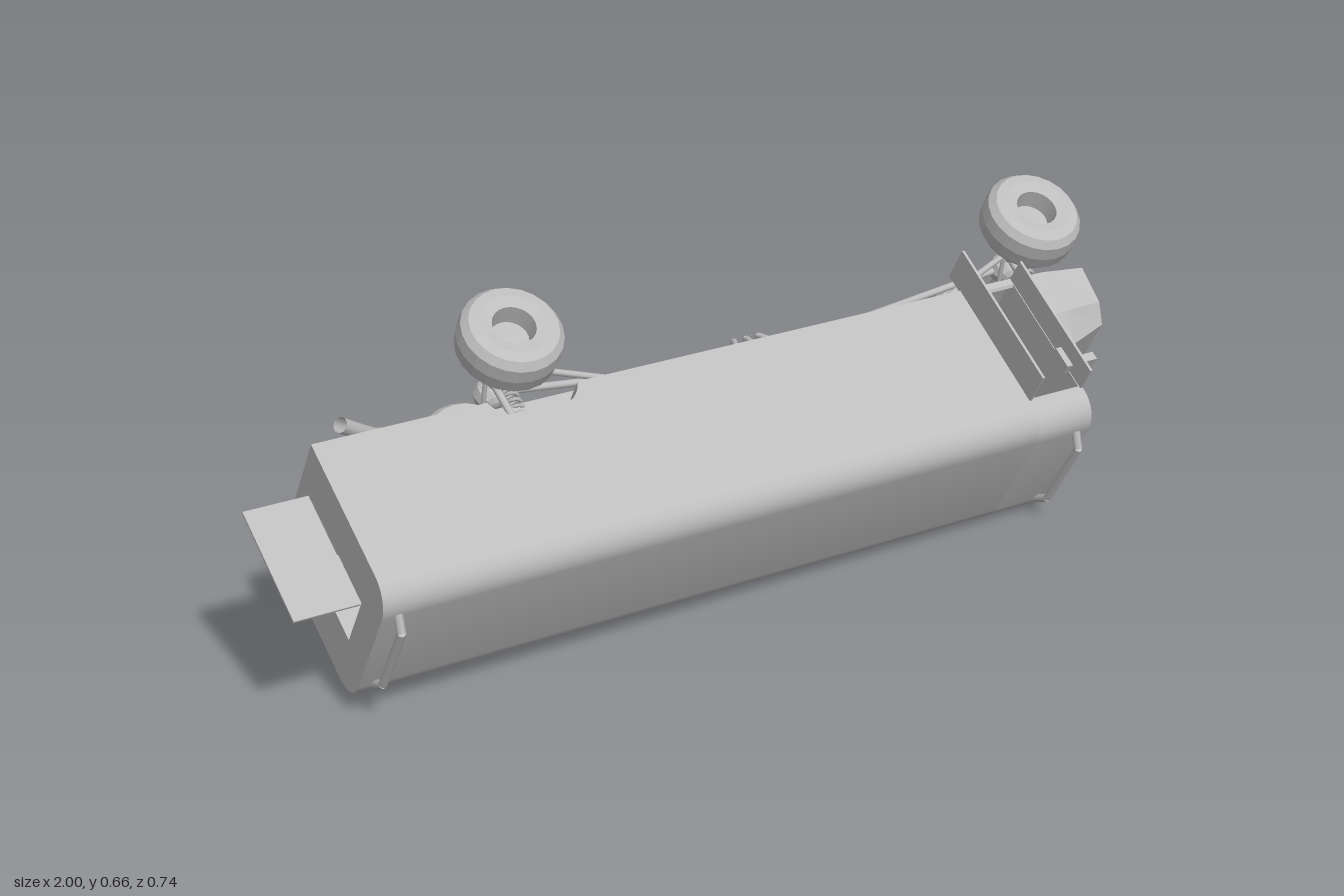
import * as THREE from 'three';
import { toCreasedNormals } from 'three/addons/utils/BufferGeometryUtils.js';

const V = (x, y, z) => new THREE.Vector3(x, y, z);
const HW = 0.179; // half width of the body

export function createModel() {
  const paint = new THREE.MeshStandardMaterial({ color: 0xbdbdbd, side: THREE.DoubleSide });
  paint.name = 'plain grey';
  const flat = new THREE.MeshStandardMaterial({ color: 0xbdbdbd, side: THREE.DoubleSide, flatShading: true });
  flat.name = 'faceted grey';

  const root = new THREE.Group();
  // Vehicle space: +x is its nose, +y its roof; the whole truck lies tipped over
  const truck = new THREE.Group();
  truck.name = 'tippedTruck';
  truck.position.z = -0.273;
  const tip = new THREE.Group();
  tip.rotation.set(2.071, -0.0075, 0.046);
  tip.add(truck);
  root.add(tip);

  const add = (name, geo, mat = paint) => {
    const m = new THREE.Mesh(geo, mat);
    m.name = name;
    truck.add(m);
    return m;
  };
  const box = (name, w, h, d, x, y, z) => {
    const m = add(name, new THREE.BoxGeometry(w, h, d));
    m.position.set(x, y, z);
    return m;
  };
  const rod = (name, a, b, r, sides = 8) => {
    const m = add(name, new THREE.CylinderGeometry(r, r, a.distanceTo(b), sides));
    m.position.copy(a).add(b).multiplyScalar(0.5);
    m.quaternion.setFromUnitVectors(V(0, 1, 0), b.clone().sub(a).normalize());
    return m;
  };
  const alongX = (shape, x0, x1) => {
    const g = new THREE.ExtrudeGeometry(shape, { depth: x1 - x0, bevelEnabled: false });
    return toCreasedNormals(g.rotateY(Math.PI / 2).translate(x0, 0, 0), 0.6);
  };

  // Body outline over the roof: starts on the left wall, ends on the right wall
  const overRoof = (startY, endY) => {
    const pts = [new THREE.Vector2(HW, startY)];
    const r = 0.06, top = 0.158;
    for (const [cx, a0] of [[HW - r, 0], [r - HW, Math.PI / 2]])
      for (let i = 0; i <= 8; i++) {
        const a = a0 + (i / 8) * Math.PI / 2;
        pts.push(new THREE.Vector2(cx + r * Math.cos(a), top - r + r * Math.sin(a)));
      }
    pts.push(new THREE.Vector2(-HW, endY));
    return pts;
  };
  const wall = (pts) => {
    const inner = pts.map((p) => new THREE.Vector2(p.x * 0.97, (p.y + 0.03) * 0.97 - 0.03));
    return new THREE.Shape([...pts, ...inner.reverse()]);
  };
  const rect = (x0, y0, x1, y1) => new THREE.Path([
    new THREE.Vector2(x0, y0), new THREE.Vector2(x1, y0), new THREE.Vector2(x1, y1), new THREE.Vector2(x0, y1)]);

  // Hollow living box, with a doorway notch in the left wall near the cab
  add('bodyShell', alongX(wall(overRoof(-0.165, -0.165)), -0.857, 0.63));
  const front = overRoof(0.085, -0.21);
  front.push(new THREE.Vector2(HW, -0.21), new THREE.Vector2(HW, -0.195));
  add('doorwaySection', alongX(wall(front), 0.63, 0.765));
  add('frontWall', alongX(new THREE.Shape(overRoof(-0.21, -0.21)), 0.757, 0.765));
  const rear = new THREE.Shape(overRoof(-0.21, -0.21));
  rear.holes.push(rect(-0.06, -0.17, 0.07, 0.085));
  add('rearWall', alongX(rear, -0.86, -0.853));
  box('floor', 1.485, 0.01, 0.35, -0.113, -0.17, 0);
  box('doorwayBulkhead', 0.006, 0.3, 0.34, 0.627, -0.05, 0);
  box('doorwaySeat', 0.12, 0.1, 0.2, 0.695, -0.14, 0.04);

  // Lower side skirts with rear wheel arches
  const skirt = new THREE.Shape();
  skirt.moveTo(-0.857, -0.15);
  skirt.lineTo(-0.857, -0.21);
  skirt.lineTo(-0.49, -0.21);
  skirt.quadraticCurveTo(-0.47, -0.156, -0.39, -0.156);
  skirt.quadraticCurveTo(-0.31, -0.156, -0.29, -0.21);
  skirt.lineTo(0.63, -0.21);
  skirt.lineTo(0.63, -0.15);
  const skirtGeo = new THREE.ExtrudeGeometry(skirt, { depth: 0.006, bevelEnabled: false, curveSegments: 8 });
  for (const s of [-1, 1]) {
    add('sideSkirt', skirtGeo).position.z = s * (HW - 0.003) - 0.003;
    const arch = add('wheelArch', new THREE.CylinderGeometry(0.1, 0.1, 0.07, 16, 1, true, -Math.PI / 2, Math.PI));
    arch.rotation.x = -Math.PI / 2;
    arch.scale.z = 0.54;
    arch.position.set(-0.39, -0.21, s * 0.143);
    box('markerLamp', 0.03, 0.05, 0.025, 0.76, 0.02, s * (HW + 0.008));
  }

  // Open doors
  box('doorLeafRear', 0.006, 0.345, 0.082, 0.632, -0.083, -HW - 0.036);
  box('doorLeafFront', 0.006, 0.3, 0.06, 0.762, -0.06, -HW - 0.028);
  box('rearDoor', 0.135, 0.255, 0.005, -0.928, -0.043, -0.063);

  // Roof handles
  for (const x of [-0.825, 0.735]) {
    const rail = [V(x, 0.154, -0.12), V(x, 0.182, -0.095), V(x, 0.182, 0.085), V(x, 0.154, 0.125)];
    for (let i = 0; i < 3; i++) rod('roofHandle', rail[i], rail[i + 1], 0.009, 6);
  }

  // Side hatch and step on the right
  const hatch = add('sideHatch', new THREE.CylinderGeometry(0.032, 0.032, 0.004, 20));
  hatch.rotation.x = Math.PI / 2;
  hatch.position.set(0.45, -0.08, HW);
  box('stepBox', 0.1, 0.04, 0.025, 0.55, -0.205, HW + 0.005);
  box('rearStep', 0.03, 0.02, 0.02, -0.5, -0.22, HW);

  // Cab lofted between a wide back section and a narrower nose section
  const ring = (x, half) => [...half, ...half.map(([y, z]) => [y, -z]).reverse()].map(([y, z]) => [x, y, z]);
  const sections = [
    ring(0.765, [[-0.21, 0.177], [-0.1, 0.177], [-0.028, 0.135]]),
    ring(0.85, [[-0.21, 0.174], [-0.105, 0.17], [-0.045, 0.128]]),
    ring(0.955, [[-0.205, 0.163], [-0.12, 0.148], [-0.083, 0.115]]),
  ];
  const pos = [], tri = (...p) => p.forEach((q) => pos.push(...q));
  for (let k = 0; k < 2; k++)
    for (let i = 0; i < 6; i++) {
      const j = (i + 1) % 6, a = sections[k], b = sections[k + 1];
      tri(a[i], a[j], b[i]);
      tri(a[j], b[j], b[i]);
    }
  for (let i = 1; i < 5; i++) tri(sections[2][0], sections[2][i], sections[2][i + 1]);
  const cabGeo = new THREE.BufferGeometry();
  cabGeo.setAttribute('position', new THREE.Float32BufferAttribute(pos, 3));
  cabGeo.computeVertexNormals();
  add('cab', cabGeo, flat);
  box('cabTopLamp', 0.03, 0.02, 0.1, 0.955, -0.068, 0.03);
  box('bumper', 0.03, 0.02, 0.28, 0.945, -0.205, 0);

  // Wheels, axles and suspension
  const tyreGeo = new THREE.LatheGeometry([
    [0, 0.008], [0.04, 0.004], [0.045, 0.045], [0.07, 0.051], [0.092, 0.046], [0.105, 0.03], [0.108, 0],
    [0.105, -0.03], [0.092, -0.046], [0.06, -0.05], [0.045, -0.042], [0.036, -0.01], [0, -0.01],
  ].map(([r, y]) => new THREE.Vector2(r, y)), 22);
  const axleY = -0.33;
  for (const [x, diffZ, label] of [[0.875, 0.035, 'front'], [-0.39, 0.015, 'rear']]) {
    rod(label + 'Axle', V(x, axleY, -0.19), V(x, axleY, 0.185), 0.011, 10);
    const diff = add(label + 'Differential', new THREE.SphereGeometry(0.034, 10, 8), flat);
    diff.position.set(x, axleY, -diffZ);
    for (const s of [-1, 1]) {
      const wheel = add(label + 'Wheel', tyreGeo, flat);
      wheel.rotation.x = s * Math.PI / 2;
      wheel.position.set(x, axleY, s * 0.191 - 0.005);
      // Coil spring, damper and trailing link
      const coil = [];
      for (let i = 0; i <= 48; i++) {
        const a = (i / 8) * Math.PI * 2;
        coil.push(V(x + 0.014 * Math.cos(a), -0.31 + i * 0.002, s * 0.09 + 0.014 * Math.sin(a)));
      }
      add('coilSpring', new THREE.TubeGeometry(new THREE.CatmullRomCurve3(coil), 72, 0.004, 5));
      rod('damper', V(x - 0.035, -0.33, s * 0.115), V(x - 0.02, -0.2, s * 0.095), 0.008);
      const dir = label === 'front' ? -1 : 1;
      rod('trailingLink', V(x, axleY, s * 0.11), V(x + dir * 0.24, -0.25, s * 0.085), 0.007);
    }
    rod('trackRod', V(x + 0.035, -0.32, -0.15), V(x + 0.035, -0.32, 0.15), 0.005, 6);
    rod('panhardRod', V(x - 0.035, -0.32, -0.11), V(x - 0.035, -0.25, 0.1), 0.005, 6);
  }

  // Ladder frame and twin exhausts
  for (const s of [-1, 1]) {
    box('frameRail', 1.5, 0.04, 0.02, 0.17, -0.22, s * 0.09);
    const path = new THREE.CatmullRomCurve3([V(0.62, -0.245, s * 0.055), V(0.15, -0.245, s * 0.055),
      V(-0.3, -0.245, s * 0.06), V(-0.58, -0.242, s * 0.075), V(-0.69, -0.238, s * 0.105),
      V(-0.75, -0.235, s * 0.15), V(-0.79, -0.235, s * 0.182)]);
    add('exhaustPipe', new THREE.TubeGeometry(path, 40, 0.016, 10));
  }
  for (const x of [-0.56, -0.25, 0.1, 0.22, 0.5, 0.8]) box('crossMember', 0.018, 0.025, 0.19, x, -0.218, 0);

  // Driveline
  box('engine', 0.16, 0.09, 0.1, 0.8, -0.22, 0);
  box('gearbox', 0.18, 0.06, 0.06, 0.62, -0.23, 0);
  box('transferCase', 0.07, 0.055, 0.07, 0.18, -0.255, 0);
  rod('frontDriveshaft', V(0.21, -0.265, -0.025), V(0.85, axleY, -0.035), 0.008);
  rod('rearDriveshaft', V(0.15, -0.265, -0.015), V(-0.36, axleY, -0.015), 0.008);
  for (const x of [0.155, 0.185, 0.215]) {
    rod('skidBar', V(x, -0.295, -0.055), V(x, -0.295, 0.055), 0.006, 6);
    for (const s of [-1, 1])
      rod('skidBrace', V(x, -0.295, s * 0.055), V(x + (x - 0.185) * 1.2, -0.22, s * 0.095), 0.006, 6);
  }

  // Rest the lowest point on the ground
  root.updateMatrixWorld(true);
  tip.position.y = -new THREE.Box3().setFromObject(root, true).min.y;
  return root;
}
